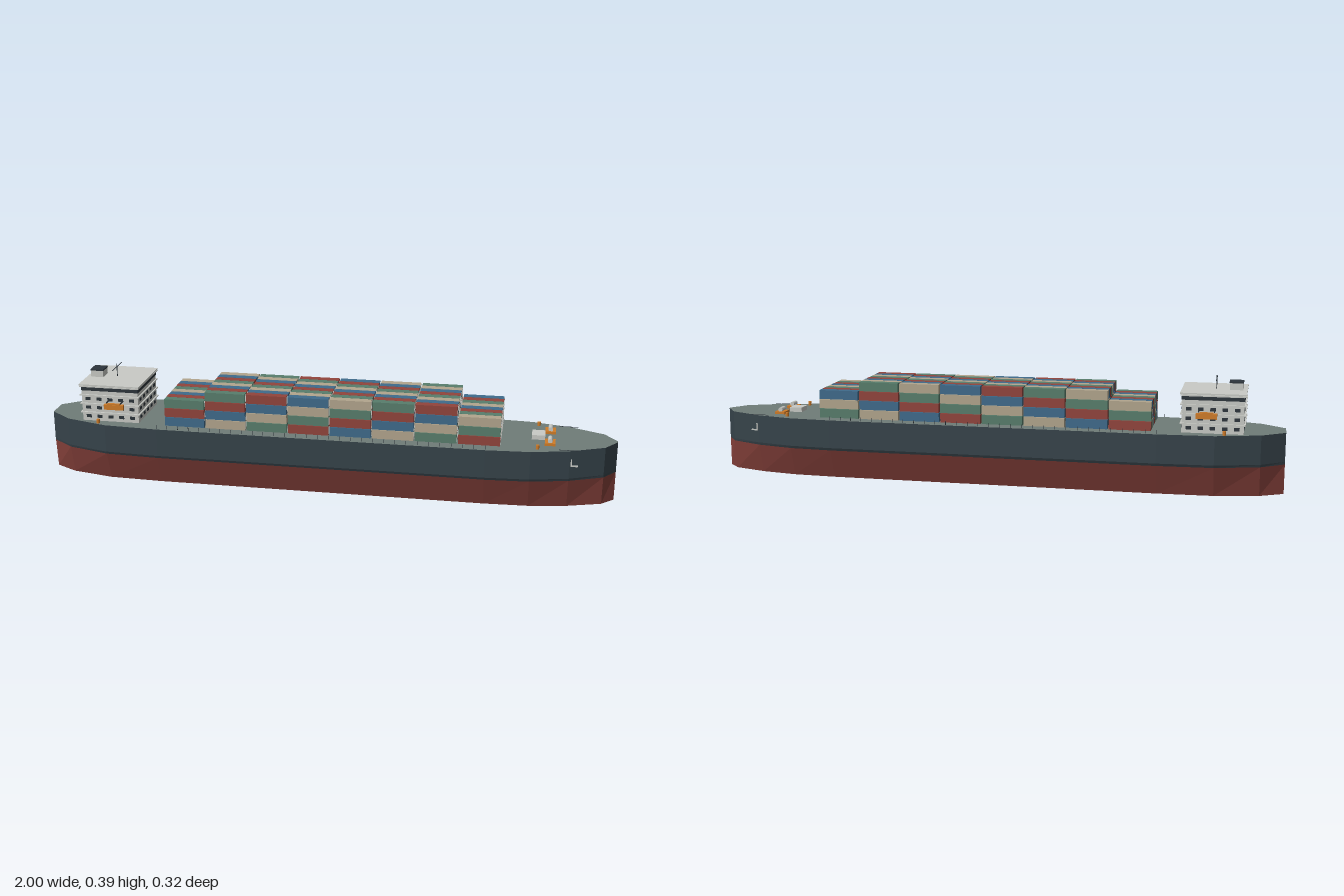
import * as THREE from 'three';
import { mergeGeometries } from 'three/addons/utils/BufferGeometryUtils.js';

const mat = (name, color, extra = {}) => {
  const m = new THREE.MeshStandardMaterial({ color, ...extra });
  m.name = name;
  return m;
};

export function createModel() {
  const ship = new THREE.Group();
  ship.name = 'containerShip';
  const M = {
    hull: mat('hull slate', 0x36434a),
    keel: mat('antifouling red', 0x84403a),
    deck: mat('deck grey green', 0x707c78),
    white: mat('house white', 0xc9cbc6),
    dark: mat('dark trim', 0x2c343b),
    orange: mat('safety orange', 0xd07c28),
    red: mat('container red', 0x92443c),
    blue: mat('container blue', 0x3f6b8c),
    tan: mat('container tan', 0xb3a68e),
    green: mat('container green', 0x587e6c),
  };
  const boxGeo = (w, h, d, x, y, z) => new THREE.BoxGeometry(w, h, d).translate(x, y, z);
  const add = (name, geo, material, parent = ship) => {
    const mesh = new THREE.Mesh(geo, material);
    mesh.name = name;
    parent.add(mesh);
    return mesh;
  };
  const group = (name) => {
    const g = new THREE.Group();
    g.name = name;
    ship.add(g);
    return g;
  };

  // Hull: one plan outline, with its width scaled at each height
  const half = [[-1, 0.04], [-0.92, 0.103], [-0.77, 0.148], [-0.58, 0.158], [0.56, 0.158],
    [0.71, 0.149], [0.84, 0.118], [0.957, 0.065], [1, 0.004]];
  const outline = [...half, ...half.slice().reverse().map(([x, z]) => [x, -z])];
  const ring = (y, s) => outline.map(([x, z]) => [x, y, z * s]);
  const facets = (tris) => {
    const g = new THREE.BufferGeometry();
    g.setAttribute('position', new THREE.Float32BufferAttribute(tris.flat(), 3));
    g.computeVertexNormals();
    return g;
  };
  const band = (lo, hi) => {
    const t = [];
    lo.forEach((a, i) => {
      const j = (i + 1) % lo.length;
      t.push(a, lo[j], hi[j], a, hi[j], hi[i]);
    });
    return t;
  };
  const cap = (r, up) => {
    const t = [];
    for (let i = 1; i < r.length - 1; i++) t.push(r[0], ...(up ? [r[i], r[i + 1]] : [r[i + 1], r[i]]));
    return t;
  };
  const bottom = ring(0, 0.725), water = ring(0.104, 0.975), knuckle = ring(0.113, 1), top = ring(0.212, 1);
  add('lowerHull', facets([...cap(bottom, false), ...band(bottom, water)]), M.keel);
  add('upperHull', facets([...band(water, knuckle), ...band(knuckle, top)]), M.hull);
  add('deck', facets(cap(top, true)), M.deck);

  // Container stacks: eight bays of eight rows, lower at both ends
  const cargo = group('containers');
  const names = ['red', 'blue', 'tan', 'green'];
  const stacks = names.map(() => []);
  const rods = [];
  for (let bay = 0; bay < 8; bay++) {
    const tiers = bay === 0 || bay === 7 ? 3 : 4;
    const x = -0.487 + bay * 0.1463;
    for (let tier = 0; tier < tiers; tier++) {
      for (let row = 0; row < 8; row++) {
        const y = 0.23 + tier * 0.033, z = 0.1052 - row * 0.03;
        stacks[(bay + row - tier + 5) % 4].push(boxGeo(0.141, 0.0315, 0.0285, x, y, z));
        // Door locking bars
        for (const s of [-1, 1]) rods.push(boxGeo(0.001, 0.027, 0.0008, x + 0.071, y, z + s * 0.004));
      }
    }
  }
  names.forEach((n, i) => add(n + 'Containers', mergeGeometries(stacks[i]), M[n], cargo));
  add('doorBars', mergeGeometries(rods), M.white, cargo);

  // Accommodation block: four floors with thin overhanging decks
  const house = group('deckhouse');
  const hx = -0.76;
  for (let f = 0; f < 4; f++) {
    const y = 0.212 + f * 0.032;
    add('floor', boxGeo(0.205, 0.032, 0.212, hx, y + 0.016, 0), M.white, house);
    add('floorDeck', boxGeo(0.216, 0.004, 0.226, hx, y + 0.031, 0), M.white, house);
    if (f === 3) continue;
    for (const s of [-1, 1]) {
      for (let i = 0; i < 5; i++) {
        add('sideWindow', boxGeo(0.018, 0.011, 0.002, hx - 0.08 + i * 0.04, y + 0.017, s * 0.1065), M.dark, house);
        add('endWindow', boxGeo(0.002, 0.011, 0.018, hx + s * 0.103, y + 0.017, -0.08 + i * 0.04), M.dark, house);
      }
    }
  }
  add('bridgeWindows', boxGeo(0.208, 0.012, 0.215, hx, 0.329, 0), M.dark, house);
  add('bridgeRoof', boxGeo(0.218, 0.005, 0.23, hx, 0.345, 0), M.white, house);
  add('funnel', boxGeo(0.045, 0.024, 0.048, -0.832, 0.359, 0), M.white, house);
  add('funnelTop', boxGeo(0.047, 0.005, 0.05, -0.832, 0.373, 0), M.dark, house);
  add('mast', new THREE.CylinderGeometry(0.0015, 0.0015, 0.047, 8).translate(-0.765, 0.37, 0), M.dark, house);
  add('radarBar', boxGeo(0.002, 0.0015, 0.104, -0.765, 0.382, 0), M.dark, house);

  for (const s of [-1, 1]) {
    // Lifeboat hung from two davits
    add('lifeboat', boxGeo(0.07, 0.018, 0.013, -0.74, 0.273, s * 0.124), M.orange, house);
    add('lifeboatCanopy', boxGeo(0.045, 0.005, 0.009, -0.74, 0.2835, s * 0.124), M.orange, house);
    for (const d of [-0.026, 0.026]) {
      add('davit', boxGeo(0.003, 0.004, 0.022, -0.74 + d, 0.288, s * 0.116), M.dark, house);
    }

    // Mooring bollards and winches
    for (const [x, z] of [[-0.8, 0.128], [0.732, 0.115]]) {
      add('bollard', new THREE.CylinderGeometry(0.006, 0.006, 0.014, 10).translate(x, 0.219, s * z), M.orange);
    }
    add('winchBase', boxGeo(0.036, 0.009, 0.046, 0.773, 0.2165, s * 0.058), M.orange);
    add('winchDrum', new THREE.CylinderGeometry(0.008, 0.008, 0.036, 12).rotateX(Math.PI / 2)
      .translate(0.773, 0.227, s * 0.058), M.white);

    // Anchor on the bow plating
    const anchor = group('anchor');
    add('shank', boxGeo(0.004, 0.026, 0.004, 0.846, 0.17, s * 0.119), M.white, anchor);
    add('fluke', boxGeo(0.024, 0.004, 0.006, 0.856, 0.159, s * 0.117), M.white, anchor);

    // Deck edge railing
    const posts = [];
    for (let i = 0; i <= 30; i++) posts.push(boxGeo(0.0015, 0.013, 0.0015, -0.58 + i * 0.038, 0.2185, s * 0.15));
    add('railingPosts', mergeGeometries(posts), M.dark);
    add('bowRail', boxGeo(0.065, 0.0015, 0.0015, 0.835, 0.2135, s * 0.116), M.dark);
  }

  // Foredeck hatch
  add('foredeckHatch', boxGeo(0.045, 0.016, 0.054, 0.733, 0.22, 0), M.white);
  return ship;
}
